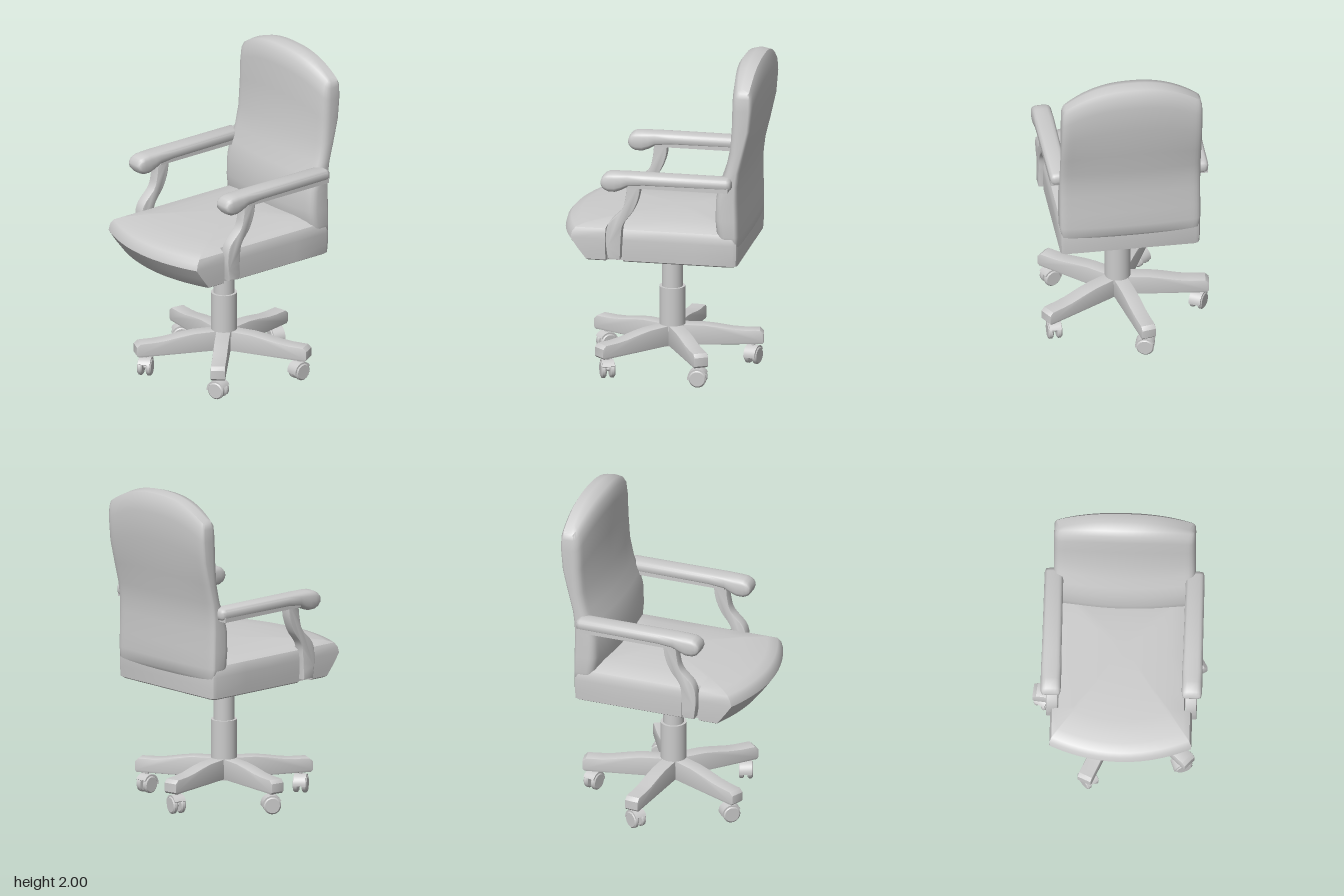
import * as THREE from 'three';
import { toCreasedNormals } from 'three/addons/utils/BufferGeometryUtils.js';

const grey = new THREE.MeshStandardMaterial({ color: 0xcccccc, side: THREE.DoubleSide });

function add(parent, name, geometry, x = 0, y = 0, z = 0) {
  const mesh = new THREE.Mesh(geometry, grey);
  mesh.name = name;
  mesh.position.set(x, y, z);
  parent.add(mesh);
  return mesh;
}

// Skin through rings of equal point count, ends closed by fans if wanted
function loft(rings, caps = true, crease = 0.6) {
  const n = rings[0].length, pos = rings.flat(2), index = [];
  for (let i = 0; i < rings.length - 1; i++) {
    for (let j = 0; j < n; j++) {
      const a = i * n + j, b = i * n + (j + 1) % n;
      index.push(a, b, b + n, a, b + n, a + n);
    }
  }
  if (caps) {
    [0, rings.length - 1].forEach((r) => {
      const c = pos.length / 3;
      for (let k = 0; k < 3; k++) pos.push(rings[r].reduce((s, p) => s + p[k], 0) / n);
      for (let j = 0; j < n; j++) {
        const a = r * n + j, b = r * n + (j + 1) % n;
        index.push(...(r ? [a, b, c] : [b, a, c]));
      }
    });
  }
  const g = new THREE.BufferGeometry();
  g.setAttribute('position', new THREE.Float32BufferAttribute(pos, 3));
  g.setIndex(index);
  return toCreasedNormals(g, crease);
}

// Extrude a side profile drawn in (z, y), centred on x = 0
function sideExtrude(shape, width, bevel = 0) {
  const g = new THREE.ExtrudeGeometry(shape, {
    depth: width - 2 * bevel, bevelEnabled: bevel > 0, bevelSize: bevel,
    bevelThickness: bevel, bevelSegments: 2, curveSegments: 8,
  });
  g.translate(0, 0, -(width - 2 * bevel) / 2);
  g.rotateY(-Math.PI / 2);
  return toCreasedNormals(g, 0.6);
}

const polygon = (pts) => new THREE.Shape(pts.map((p) => new THREE.Vector2(...p)));

// Seat cushion: bowed front, domed top, notches for the arm posts
function seatGeometry() {
  const layers = [ // height, inset, front corner z
    [0.755, 0.02, 0.455], [0.765, 0.004, 0.465], [0.83, 0, 0.515], [0.895, 0, 0.56],
    [0.935, 0.002, 0.55], [0.96, 0.012, 0.53], [0.978, 0.05, 0.48],
    [0.994, 0.14, 0.36], [1.004, 0.26, 0.2], [1.008, 0.36, 0.05],
  ];
  return loft(layers.map(([y, inset, f]) => {
    const w = 0.43 - inset, rear = -0.47 + inset, ring = [];
    for (let i = 0; i <= 20; i++) {
      const q = Math.sin((i / 10 - 1) * Math.PI / 2);
      ring.push([w * q, y, f + 0.095 * (w / 0.43) * (1 - q * q)]);
    }
    const n = Math.min(w, 0.385), c = Math.min(0.03, w * 0.3);
    const side = [[w, 0.345], [n, 0.34], [n, 0.24], [w, 0.235], [w, 0], [w, -0.2]]
      .map(([x, z], k) => [x, y, Math.max(Math.min(z, f - 0.012 * (k + 1)), rear + c + 0.01 * (6 - k))]);
    side.push([w, y, rear + c], [w - c * 0.3, y, rear + c * 0.3], [w - c, y, rear]);
    ring.push(...side, ...side.slice().reverse().map(([x, yy, z]) => [-x, yy, z]));
    return ring;
  }));
}

// Backrest: curved lumbar profile with arched top
function backGeometry() {
  const rows = [ // height, rear z, front edge z, front centre z, half width, edge radius
    [0.855, -0.43, -0.43, -0.43, 0.38, 0], [0.862, -0.46, -0.4, -0.38, 0.4, 0.01],
    [0.89, -0.47, -0.37, -0.33, 0.42, 0.03], [0.95, -0.47, -0.345, -0.3, 0.43, 0.04],
    [1.05, -0.468, -0.335, -0.295, 0.43, 0.04], [1.18, -0.465, -0.34, -0.3, 0.43, 0.04],
    [1.27, -0.468, -0.365, -0.325, 0.43, 0.04], [1.36, -0.48, -0.4, -0.355, 0.43, 0.04],
    [1.5, -0.51, -0.425, -0.385, 0.43, 0.04], [1.7, -0.545, -0.435, -0.4, 0.43, 0.04],
    [1.87, -0.557, -0.44, -0.4, 0.43, 0.04], [1.95, -0.552, -0.452, -0.41, 0.428, 0.03],
    [1.985, -0.54, -0.472, -0.435, 0.42, 0.015], [2.0, -0.49, -0.49, -0.49, 0.4, 0],
  ];
  return loft(rows.map(([y, rear, edge, mid, w, r]) => {
    const front = [], back = [];
    for (let i = 0; i <= 28; i++) {
      const q = Math.sin((i / 14 - 1) * Math.PI / 2), x = w * q;
      const t = r ? Math.max(0, (Math.abs(x) - w + r) / r) : 0;
      const round = r * (1 - Math.sqrt(Math.max(0, 1 - t * t)));
      const yy = y - 0.12 * Math.abs(q) ** 2.4 * THREE.MathUtils.smoothstep(y, 1.3, 1.95);
      front.push([x, yy, edge + (mid - edge) * (1 - q * q) - round]);
      back.unshift([x, yy, rear - r * 0.5 * (1 - q * q) + round * 0.5]);
    }
    return [...front, ...back];
  }), false, 0.75);
}

// Armrest pad: rounded section, front end rolled downwards
function padGeometry() {
  const rows = [ // z, bottom, top, half width
    [-0.437, 1.27, 1.305, 0.035], [-0.43, 1.258, 1.322, 0.05], [-0.41, 1.254, 1.33, 0.057],
    [0.1, 1.254, 1.33, 0.06], [0.2, 1.245, 1.33, 0.062], [0.24, 1.222, 1.33, 0.062],
    [0.28, 1.207, 1.33, 0.062], [0.32, 1.208, 1.327, 0.062], [0.345, 1.22, 1.315, 0.06],
    [0.36, 1.238, 1.297, 0.055], [0.367, 1.26, 1.275, 0.045],
  ];
  return loft(rows.map(([z, b, t, w]) => Array.from({ length: 20 }, (_, i) => {
    const a = i * Math.PI / 10, c = Math.cos(a), s = Math.sin(a);
    return [w * Math.sign(c) * Math.abs(c) ** 0.6, (b + t) / 2 + (t - b) / 2 * Math.sign(s) * Math.abs(s) ** 0.6, z];
  })), true, 0.9);
}

// S-curved arm post
function postGeometry() {
  const s = new THREE.Shape();
  s.moveTo(0.255, 0.785);
  s.lineTo(0.32, 0.785);
  s.splineThru([[0.332, 0.9], [0.315, 1.0], [0.235, 1.09], [0.21, 1.17], [0.2, 1.27]].map((p) => new THREE.Vector2(...p)));
  s.lineTo(0.13, 1.27);
  s.splineThru([[0.14, 1.18], [0.175, 1.09], [0.237, 1.0], [0.25, 0.9], [0.255, 0.785]].map((p) => new THREE.Vector2(...p)));
  return sideExtrude(s, 0.068, 0.006);
}

function addCaster(parent, x, angle) {
  const caster = new THREE.Group();
  caster.name = 'caster';
  caster.position.set(x, 0, 0);
  caster.rotation.y = -angle;
  parent.add(caster);
  add(caster, 'casterStem', new THREE.CylinderGeometry(0.012, 0.012, 0.08, 10), 0, 0.105, 0);
  for (const s of [-1, 1]) {
    const r = [[0, -0.016], [0.045, -0.016], [0.054, -0.008], [0.054, 0.008], [0.045, 0.016], [0, 0.016]];
    const wheel = toCreasedNormals(new THREE.LatheGeometry(r.map((p) => new THREE.Vector2(...p)), 20), 0.6);
    add(caster, 'casterWheel', wheel.rotateZ(Math.PI / 2), s * 0.027, 0.054, 0);
  }
  const hood = new THREE.Shape();
  hood.absarc(0, 0.054, 0.062, -0.1, Math.PI - 0.5, false);
  hood.absarc(0, 0.054, 0.052, Math.PI - 0.5, -0.1, true);
  add(caster, 'casterHood', sideExtrude(hood, 0.075));
  add(caster, 'casterAxle', new THREE.CylinderGeometry(0.014, 0.014, 0.05, 10).rotateZ(Math.PI / 2), 0, 0.054, 0);
}

export function createModel() {
  const model = new THREE.Group();
  model.name = 'officeChair';

  // Upper part, swivelled on the column
  const upper = new THREE.Group();
  upper.name = 'swivelSeat';
  upper.rotation.y = -0.711;
  model.add(upper);
  add(upper, 'seat', seatGeometry());
  add(upper, 'backrest', backGeometry());
  for (const s of [-1, 1]) {
    const arm = new THREE.Group();
    arm.name = s > 0 ? 'leftArm' : 'rightArm';
    upper.add(arm);
    add(arm, 'armPad', padGeometry(), s * 0.428);
    add(arm, 'armRail', new THREE.BoxGeometry(0.108, 0.03, 0.62), s * 0.428, 1.26, -0.11);
    add(arm, 'armPost', postGeometry(), s * 0.422);
  }

  // Mounting plate and tilt housing
  const half = [[0.22, 0.36], [0.22, 0.29], [0.15, 0.22], [0.15, -0.22], [0.22, -0.29], [0.22, -0.36]];
  const plate = polygon([...half, ...half.slice().reverse().map(([x, y]) => [-x, y])]);
  const plateGeo = new THREE.ExtrudeGeometry(plate, { depth: 0.025, bevelEnabled: false }).rotateX(-Math.PI / 2);
  add(upper, 'mountingPlate', plateGeo, 0, 0.735, 0);
  const housing = new THREE.CylinderGeometry(0.18, 0.135, 0.055, 4).rotateY(Math.PI / 4);
  add(upper, 'tiltHousing', toCreasedNormals(housing, 0.3), 0, 0.708, 0);

  // Column and five-legged base
  const base = new THREE.Group();
  base.name = 'base';
  base.position.set(-0.004, 0, 0.015);
  model.add(base);
  add(base, 'gasLift', new THREE.CylinderGeometry(0.064, 0.064, 0.22, 32), 0, 0.59, 0);
  add(base, 'columnSleeve', new THREE.CylinderGeometry(0.079, 0.079, 0.27, 32), 0, 0.36, 0);
  add(base, 'hub', new THREE.CylinderGeometry(0.07, 0.06, 0.125, 20), 0, 0.185, 0);
  const legShape = polygon([[0, 0.135], [0.54, 0.135], [0.55, 0.145], [0.55, 0.195], [0.53, 0.214], [0.44, 0.216],
    [0.37, 0.222], [0.27, 0.24], [0.19, 0.25], [0, 0.254]]);
  for (let i = 0; i < 5; i++) {
    const a = THREE.MathUtils.degToRad(11 + 72 * i);
    const leg = new THREE.Group();
    leg.name = 'leg' + (i + 1);
    leg.rotation.y = -a;
    base.add(leg);
    add(leg, 'legBeam', sideExtrude(legShape, 0.088, 0.004).rotateY(Math.PI / 2));
    addCaster(leg, 0.49, THREE.MathUtils.degToRad(27));
  }
  return model;
}
